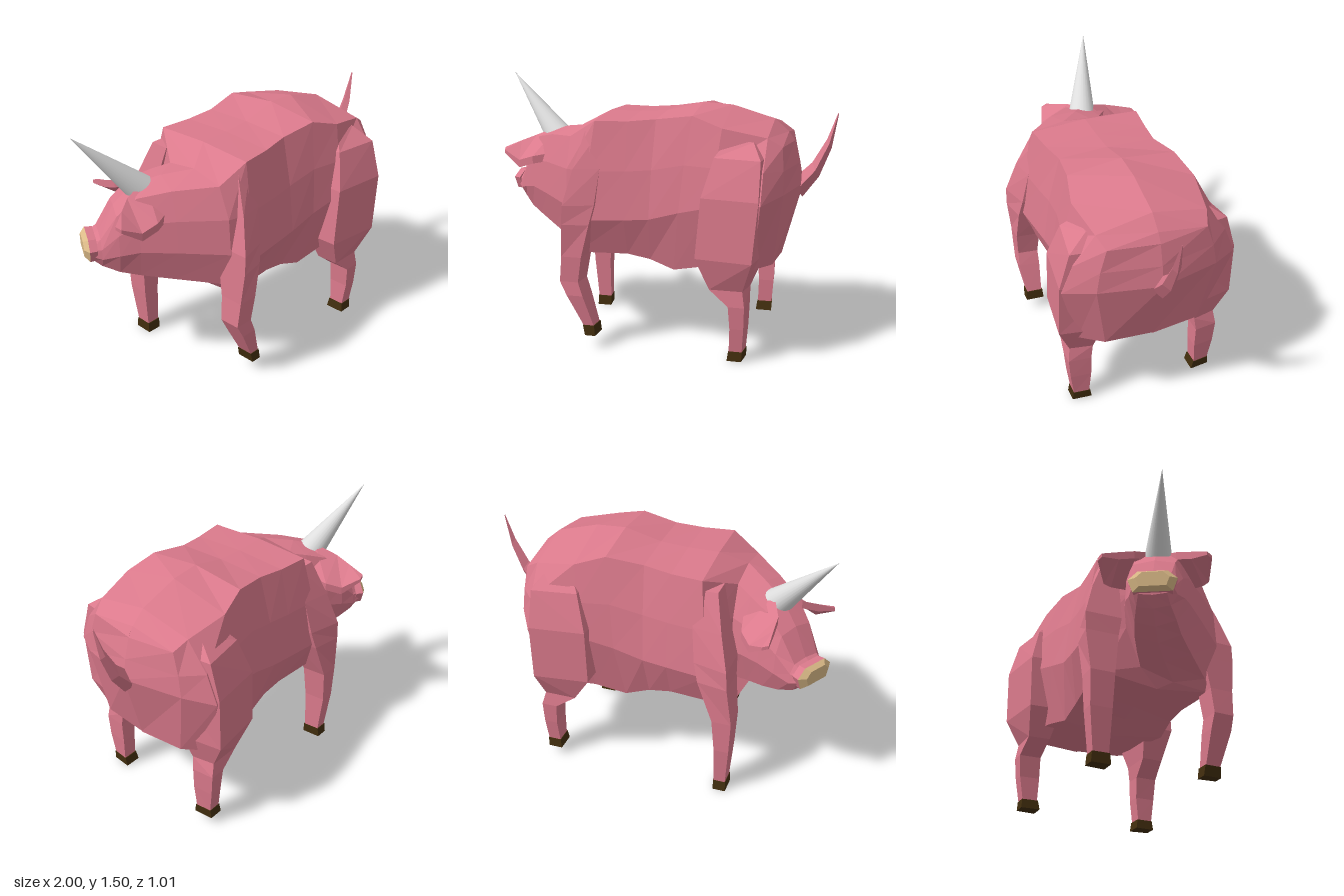
import * as THREE from 'three';

const pink = new THREE.MeshStandardMaterial({ color: 0xdb7a8c });
const hoofBrown = new THREE.MeshStandardMaterial({ color: 0x422e0e });
const snoutTan = new THREE.MeshStandardMaterial({ color: 0xdcbb88 });
const hornGrey = new THREE.MeshStandardMaterial({ color: 0xdedede });
[pink, hoofBrown, snoutTan].forEach((m) => { m.flatShading = true; });

// Closed, faceted skin over a list of rings with equal point counts
function loft(name, rings, material) {
  const tris = [];
  const n = rings[0].length;
  for (let i = 0; i < rings.length - 1; i++) {
    for (let j = 0; j < n; j++) {
      const k = (j + 1) % n;
      const a = rings[i][j], b = rings[i][k], c = rings[i + 1][k], d = rings[i + 1][j];
      tris.push([a, b, c], [a, c, d]);
    }
  }
  const cap = (ring, flip) => {
    const mid = [0, 1, 2].map((q) => ring.reduce((s, p) => s + p[q], 0) / n);
    ring.forEach((p, j) => {
      const next = ring[(j + 1) % n];
      tris.push(flip ? [mid, next, p] : [mid, p, next]);
    });
  };
  cap(rings[0], true);
  cap(rings[rings.length - 1], false);
  // Turn the faces outward whichever way the rings run
  const v = (p) => new THREE.Vector3(...p);
  const volume = tris.reduce((s, [a, b, c]) => s + v(a).dot(v(b).cross(v(c))), 0);
  if (volume < 0) tris.forEach((t) => t.reverse());
  const geometry = new THREE.BufferGeometry();
  geometry.setAttribute('position', new THREE.Float32BufferAttribute(tris.flat(2), 3));
  geometry.computeVertexNormals();
  const mesh = new THREE.Mesh(geometry, material);
  mesh.name = name;
  return mesh;
}

// Mirrors a half ring, whose first and last points lie on the middle line
const closeRing = (half, place) => [
  ...half.map(([w, y, x]) => place(w, y, x)),
  ...half.slice(1, -1).reverse().map(([w, y, x]) => place(-w, y, x)),
];

// Head frame: f forward, s sideways, turned away from the body's line
const YAW = 0.53;
function headPoint(f, s, y) {
  return [-0.6 - f * Math.cos(YAW) - s * Math.sin(YAW), y, -0.08 - f * Math.sin(YAW) + s * Math.cos(YAW)];
}

function bodyAndHead() {
  // xTop, xMid, xLow, top, edge width, edge y, side width, side y, belly edge y, belly
  // The first row closes the rump to a single upright ridge
  const trunk = [
    [0.765, 0.82, 0.71, 1.19, 0, 1.188, 0, 0.95, 0.535, 0.53],
    [0.73, 0.745, 0.69, 1.24, 0.28, 1.20, 0.34, 0.95, 0.54, 0.53],
    [0.65, 0.645, 0.60, 1.31, 0.31, 1.25, 0.498, 0.92, 0.54, 0.52],
    [0.41, 0.37, 0.32, 1.38, 0.35, 1.30, 0.42, 0.88, 0.52, 0.48],
    [0.24, 0.18, 0.14, 1.39, 0.31, 1.355, 0.39, 0.83, 0.48, 0.44],
    [0.03, 0.01, 0.00, 1.335, 0.28, 1.325, 0.38, 0.78, 0.53, 0.49],
    [-0.13, -0.13, -0.13, 1.325, 0.30, 1.31, 0.39, 0.77, 0.555, 0.52],
    [-0.31, -0.36, -0.42, 1.325, 0.32, 1.31, 0.41, 0.76, 0.55, 0.51],
  ];
  const rings = trunk.map(([xt, xm, xb, top, we, ye, wm, ym, yb, bottom]) => closeRing([
    [0, top, xt], [we, ye, xt],
    [we * 0.35 + wm * 0.65, (ye + ym) / 2, xt * 0.4 + xm * 0.6],
    [wm, ym, xm], [wm * 0.8, yb, xb], [0, bottom, xb],
  ], (w, y, x) => [x, y, w]));
  // Neck and face: centre x, centre z, yaw, half width, top, bottom
  [
    [-0.46, 0.08, 0.04, 0.28, 1.245, 0.55],
    [-0.59, -0.04, 0.35, 0.21, 1.215, 0.59],
    [-0.71, -0.14, YAW, 0.175, 1.17, 0.625],
    [-0.80, -0.20, YAW, 0.155, 1.06, 0.665],
    [-0.875, -0.25, YAW, 0.125, 0.91, 0.72],
    [-0.92, -0.277, YAW, 0.105, 0.88, 0.77],
  ].forEach(([cx, cz, yaw, hw, top, bottom]) => {
    const h = top - bottom;
    rings.push(closeRing([
      [0, top], [hw * 0.7, top - h * 0.05], [hw * 0.95, top - h * 0.3],
      [hw, top - h * 0.6], [hw * 0.7, bottom + h * 0.08], [0, bottom],
    ], (w, y) => [cx - w * Math.sin(yaw), y, cz + w * Math.cos(yaw)]));
  });
  return loft('bodyAndHead', rings, pink);
}

// Hexagonal slab at the end of the face, between two distances and sizes
function snoutSlab(name, [f0, size0], [f1, size1], material) {
  const ring = (f, size) => [[1, 0.2], [0.6, 1], [-0.6, 1], [-1, 0.2], [-0.8, -1], [0.8, -1]]
    .map(([s, y]) => headPoint(f, s * 0.128 * size - 0.006, 0.842 + y * 0.06 * size));
  return loft(name, [ring(f0, size0), ring(f1, size1)], material);
}

function ear(name, side, forward) {
  const rows = [
    [[0.06, 0.03, 1.20], [-0.08, 0.11, 1.08]],
    [[0.17, 0.11, 1.145], [0.04, 0.25, 1.05]],
    [[0.215, 0.19, 1.115], [0.13, 0.28, 1.02]],
    [[0.265, 0.275, 1.08], [0.24, 0.30, 1.07]],
  ];
  const rings = rows.map(([inner, outer], i) => {
    const t = i === 3 ? 0.02 : 0.045;
    return [[inner, 0], [outer, 0], [outer, t], [inner, t]]
      .map(([[f, s, y], drop]) => headPoint(f + forward, s * side, y - drop));
  });
  return loft(name, rings, pink);
}

// Rows: y, front x, back x, inner z, outer z, how far the outer front corner
// stands proud of the outer back one; the last two rows are the hoof
function leg(name, rows, side, dx = 0, dy = 0) {
  const rings = rows.map(([y, x0, x1, z0, z1, proud = 0]) => {
    const w = THREE.MathUtils.clamp((0.75 - y) / 0.4, 0, 1);
    const inset = (x1 - x0) * 0.12;
    return [[x0, z0], [x1, z0], [x1 - inset, z1], [x0 + inset * 0.2, z1 + proud]]
      .map(([x, z]) => [x + dx * w, y + dy * w, z * side]);
  });
  const group = new THREE.Group();
  group.name = name;
  group.add(loft('limb', rings.slice(0, -2), pink), loft('hoof', rings.slice(-2), hoofBrown));
  return group;
}

function horn() {
  const base = new THREE.Vector3(-0.655, 1.12, -0.105);
  const axis = new THREE.Vector3(-1, 1.5, -0.25).sub(base);
  const geometry = new THREE.ConeGeometry(0.085, axis.length(), 24);
  const mesh = new THREE.Mesh(geometry, hornGrey);
  mesh.position.copy(base).addScaledVector(axis, 0.5);
  mesh.quaternion.setFromUnitVectors(new THREE.Vector3(0, 1, 0), axis.normalize());
  mesh.name = 'horn';
  return mesh;
}

function tail() {
  const rings = [
    [0.79, 0.92, 0.052], [0.885, 1.03, 0.04], [0.955, 1.18, 0.026], [0.998, 1.35, 0.004],
  ].map(([x, y, r]) => [[x - r * 0.5, y + r, 0], [x, y, r], [x + r * 0.5, y - r, 0], [x, y, -r]]);
  return loft('tail', rings, pink);
}

export function createModel() {
  const model = new THREE.Group();
  model.name = 'hornedPig';

  const rearLeg = [
    [1.23, 0.43, 0.60, 0.20, 0.335], [1.15, 0.37, 0.67, 0.20, 0.445, -0.04],
    [0.94, 0.31, 0.68, 0.20, 0.505, -0.04], [0.60, 0.28, 0.65, 0.27, 0.505, -0.04],
    [0.42, 0.36, 0.575, 0.30, 0.43], [0.33, 0.47, 0.575, 0.31, 0.44],
    [0.20, 0.48, 0.57, 0.31, 0.43], [0.06, 0.475, 0.56, 0.32, 0.41],
    [0.06, 0.472, 0.563, 0.315, 0.413], [0.005, 0.465, 0.56, 0.305, 0.418],
  ];
  const shoulder = [
    [1.25, -0.37, -0.27, 0.20, 0.315], [1.05, -0.42, -0.25, 0.24, 0.37, 0.03],
    [0.85, -0.47, -0.27, 0.25, 0.41, 0.05], [0.74, -0.475, -0.30, 0.27, 0.43, 0.03],
  ];
  const bentFrontLeg = [...shoulder,
    [0.55, -0.485, -0.35, 0.30, 0.44], [0.40, -0.50, -0.375, 0.31, 0.43],
    [0.32, -0.46, -0.35, 0.31, 0.435], [0.14, -0.37, -0.30, 0.32, 0.41],
    [0.14, -0.373, -0.295, 0.315, 0.413], [0.08, -0.36, -0.29, 0.31, 0.418],
  ];
  const straightFrontLeg = [
    ...shoulder.map(([y, x0, x1, z0, z1, proud]) => [y, x0 - 0.03, x1, z0, z1, proud]),
    [0.50, -0.53, -0.40, 0.30, 0.44], [0.30, -0.52, -0.42, 0.31, 0.435],
    [0.06, -0.50, -0.42, 0.32, 0.41],
    [0.06, -0.503, -0.418, 0.315, 0.413], [0, -0.505, -0.42, 0.31, 0.42],
  ];

  model.add(
    bodyAndHead(),
    snoutSlab('snoutRim', [0.345, 0.96], [0.388, 1], pink),
    snoutSlab('snoutPlate', [0.388, 1], [0.414, 0.68], snoutTan),
    ear('nearEar', 1, 0),
    ear('farEar', -1, 0.03),
    horn(),
    tail(),
    leg('nearRearLeg', rearLeg, 1),
    leg('farRearLeg', rearLeg, -1, 0.06, 0.05),
    leg('nearFrontLeg', bentFrontLeg, 1),
    leg('farFrontLeg', straightFrontLeg, -1),
  );
  return model;
}
